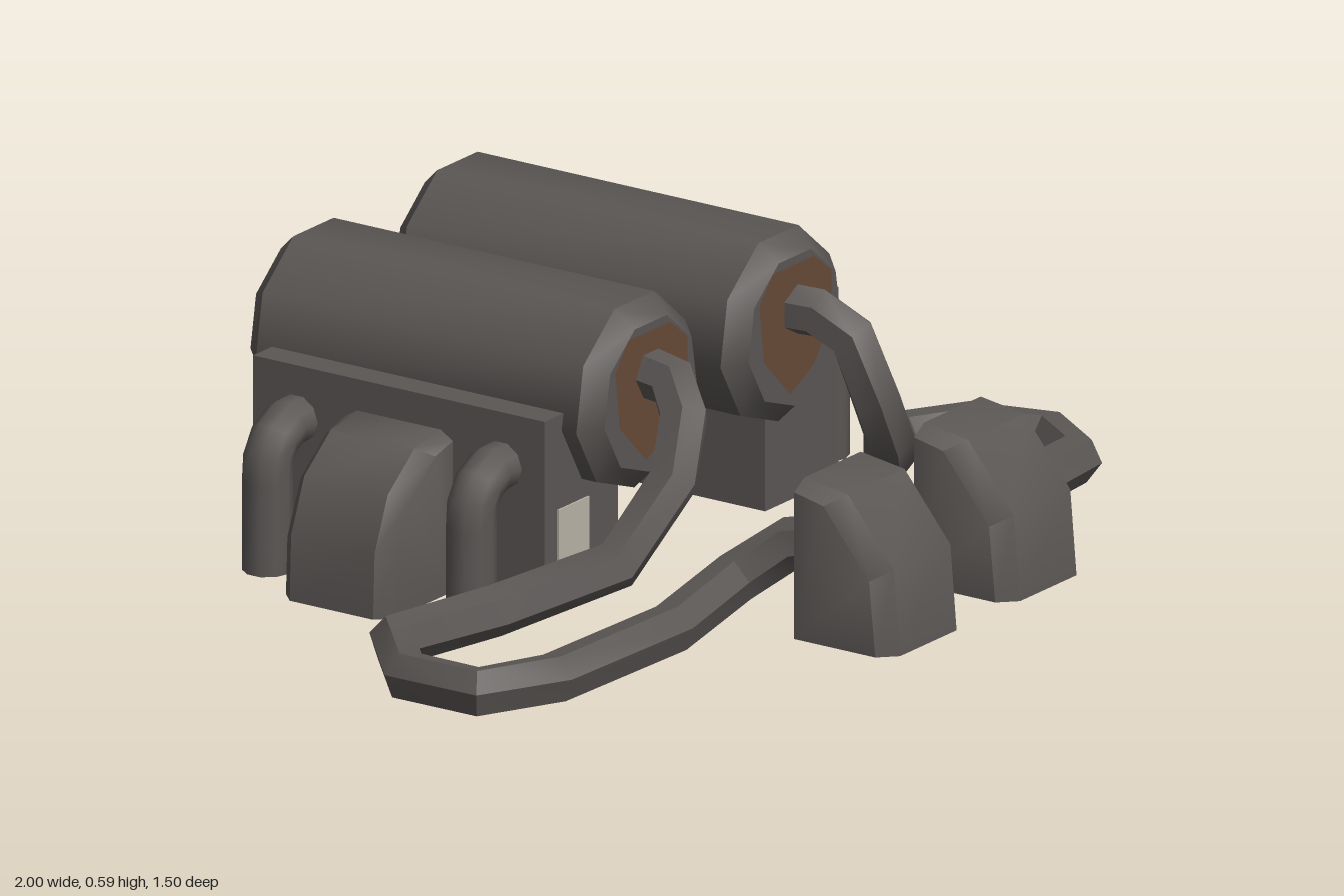
import * as THREE from 'three';
import { toCreasedNormals } from 'three/addons/utils/BufferGeometryUtils.js';

const mat = (name, color) => {
  const m = new THREE.MeshStandardMaterial({ color, side: THREE.DoubleSide });
  m.name = name;
  return m;
};

// Tube that keeps every corner of a list of points
class Polyline extends THREE.Curve {
  constructor(points) {
    super();
    this.points = points.map((p) => new THREE.Vector3(...p));
  }
  getPoint(t, target = new THREE.Vector3()) {
    const n = this.points.length - 1;
    const i = Math.min(Math.floor(t * n + 1e-6), n - 1);
    return target.lerpVectors(this.points[i], this.points[i + 1], t * n - i);
  }
  getPointAt(t, target) { return this.getPoint(t, target); }
  getTangentAt(t, target = new THREE.Vector3()) {
    const p = this.points, n = p.length - 1, i = Math.round(t * n);
    target.set(0, 0, 0);
    if (i > 0) target.add(p[i].clone().sub(p[i - 1]).normalize());
    if (i < n) target.add(p[i + 1].clone().sub(p[i]).normalize());
    return target.normalize();
  }
}
const tube = (points, radius, sides, crease) =>
  toCreasedNormals(new THREE.TubeGeometry(new Polyline(points), points.length - 1, radius, sides), crease);

// Hood with an open bottom: a [depth, height] profile swept across x with chamfered sides
function hood(profile, halfWidth, chamfer, base) {
  const full = [...profile, [0, base]];
  const inset = full.map(([d, h]) => [d > 0 ? d - chamfer : 0, h > base ? h - chamfer * 0.6 : base]);
  const rows = [[-halfWidth, inset], [-halfWidth + chamfer, full], [halfWidth - chamfer, full], [halfWidth, inset]];
  const n = full.length, pos = [], idx = [];
  for (const [x, row] of rows) for (const [d, h] of row) pos.push(x, h, d);
  for (let i = 0; i < 3; i++) {
    for (let j = 0; j < n - 1; j++) {
      const a = i * n + j, b = a + n;
      idx.push(a, b, b + 1, a, b + 1, a + 1);
    }
  }
  for (let j = 0; j < n - 2; j++) {
    idx.push(n - 1, j, j + 1);
    idx.push(4 * n - 1, 3 * n + j + 1, 3 * n + j);
  }
  const g = new THREE.BufferGeometry();
  g.setAttribute('position', new THREE.Float32BufferAttribute(pos, 3));
  g.setIndex(idx);
  return toCreasedNormals(g, 0.75);
}

export function createModel() {
  const model = new THREE.Group();
  const metal = mat('dark metal', 0x5a5654);
  const rust = mat('rust', 0x664a38);
  const pale = mat('pale label', 0xb8b2a6);

  const add = (parent, name, geometry, material, x = 0, y = 0, z = 0) => {
    const m = new THREE.Mesh(geometry, material);
    m.name = name;
    m.position.set(x, y, z);
    parent.add(m);
    return m;
  };

  // Nine-sided tank with chamfered ends
  const tankProfile = [[0, -0.425], [0.16, -0.425], [0.2, -0.385], [0.2, 0.385], [0.16, 0.425], [0, 0.425]]
    .map((p) => new THREE.Vector2(...p));
  const tankGeo = toCreasedNormals(new THREE.LatheGeometry(tankProfile, 9).rotateX(Math.PI / 2), 0.73);

  // Rust patch on the tank ends
  const patchGeo = new THREE.ShapeGeometry(new THREE.Shape(
    [[-0.02, -0.13], [0.06, -0.09], [0.12, -0.01], [0.12, 0.09], [0.06, 0.135], [-0.08, 0.135], [-0.125, 0.08], [-0.11, -0.04]]
      .map((p) => new THREE.Vector2(...p))));

  // Bracket box without its bottom face
  const bracketGeo = new THREE.BoxGeometry(0.25, 0.395, 0.7);
  const faces = Array.from(bracketGeo.index.array);
  faces.splice(18, 6);
  bracketGeo.setIndex(faces);
  bracketGeo.clearGroups();

  const blockGeo = hood([[0.23, 0.015], [0.225, 0.15], [0.18, 0.26], [0.09, 0.33], [0, 0.345]], 0.13, 0.03, 0.015);
  const pipeGeo = tube([[0.48, 0.3, 0], [0.535, 0.3, 0], [0.575, 0.28, 0], [0.597, 0.245, 0], [0.6, 0.2, 0], [0.6, 0.015, 0]],
    0.05, 10, 0.8);

  // Two tank units, the second turned half round
  for (const [name, turn] of [['leftUnit', 0], ['rightUnit', Math.PI]]) {
    const unit = new THREE.Group();
    unit.name = name;
    unit.position.set(0.13, 0, -0.325);
    unit.rotation.y = turn;
    add(unit, 'tank', tankGeo, metal, 0.245, 0.41, 0);
    add(unit, 'frontRustPatch', patchGeo, rust, 0.245, 0.41, 0.428);
    add(unit, 'backRustPatch', patchGeo, rust, 0.245, 0.41, -0.428).rotation.y = Math.PI;
    add(unit, 'bracket', bracketGeo, metal, 0.375, 0.2125, 0);
    add(unit, 'label', new THREE.BoxGeometry(0.105, 0.2, 0.008), pale, 0.405, 0.116, -0.35);
    add(unit, 'sideBlock', blockGeo, metal, 0.5, 0, 0).rotation.y = Math.PI / 2;
    for (const z of [-0.245, 0.245]) add(unit, 'elbowPipe', pipeGeo, metal, 0, 0, z);
    model.add(unit);
  }

  // Connectors at the front
  const connectorGeo = hood([[0.23, 0.015], [0.215, 0.19], [0.105, 0.325], [0, 0.34]], 0.131, 0.035, 0.015);
  add(model, 'leftConnector', connectorGeo, metal, 0.32, 0, 0.517);
  add(model, 'rightConnector', connectorGeo, metal, -0.088, 0, 0.517);

  // Loose cables from each tank to its connector
  const leftCable = [
    [0.375, 0.45, 0.06], [0.385, 0.45, 0.15], [0.4, 0.41, 0.22], [0.415, 0.29, 0.265], [0.47, 0.19, 0.26],
    [0.57, 0.11, 0.19], [0.74, 0.08, 0.085], [0.9, 0.07, 0.15], [0.955, 0.065, 0.3], [0.87, 0.065, 0.425],
    [0.72, 0.065, 0.435], [0.52, 0.085, 0.4], [0.37, 0.16, 0.45], [0.33, 0.19, 0.54],
  ];
  const rightCable = [
    [-0.115, 0.46, 0.06], [-0.125, 0.45, 0.16], [-0.16, 0.4, 0.21], [-0.22, 0.29, 0.23], [-0.35, 0.14, 0.185],
    [-0.56, 0.075, 0.04], [-0.8, 0.065, -0.035], [-0.945, 0.06, 0.1], [-0.945, 0.06, 0.27], [-0.79, 0.06, 0.345],
    [-0.4, 0.055, 0.35], [-0.16, 0.09, 0.335], [-0.09, 0.16, 0.42], [-0.08, 0.19, 0.54],
  ];
  add(model, 'leftCable', tube(leftCable, 0.052, 6, 0.7), metal);
  add(model, 'rightCable', tube(rightCable, 0.052, 6, 0.7), metal);

  return model;
}
